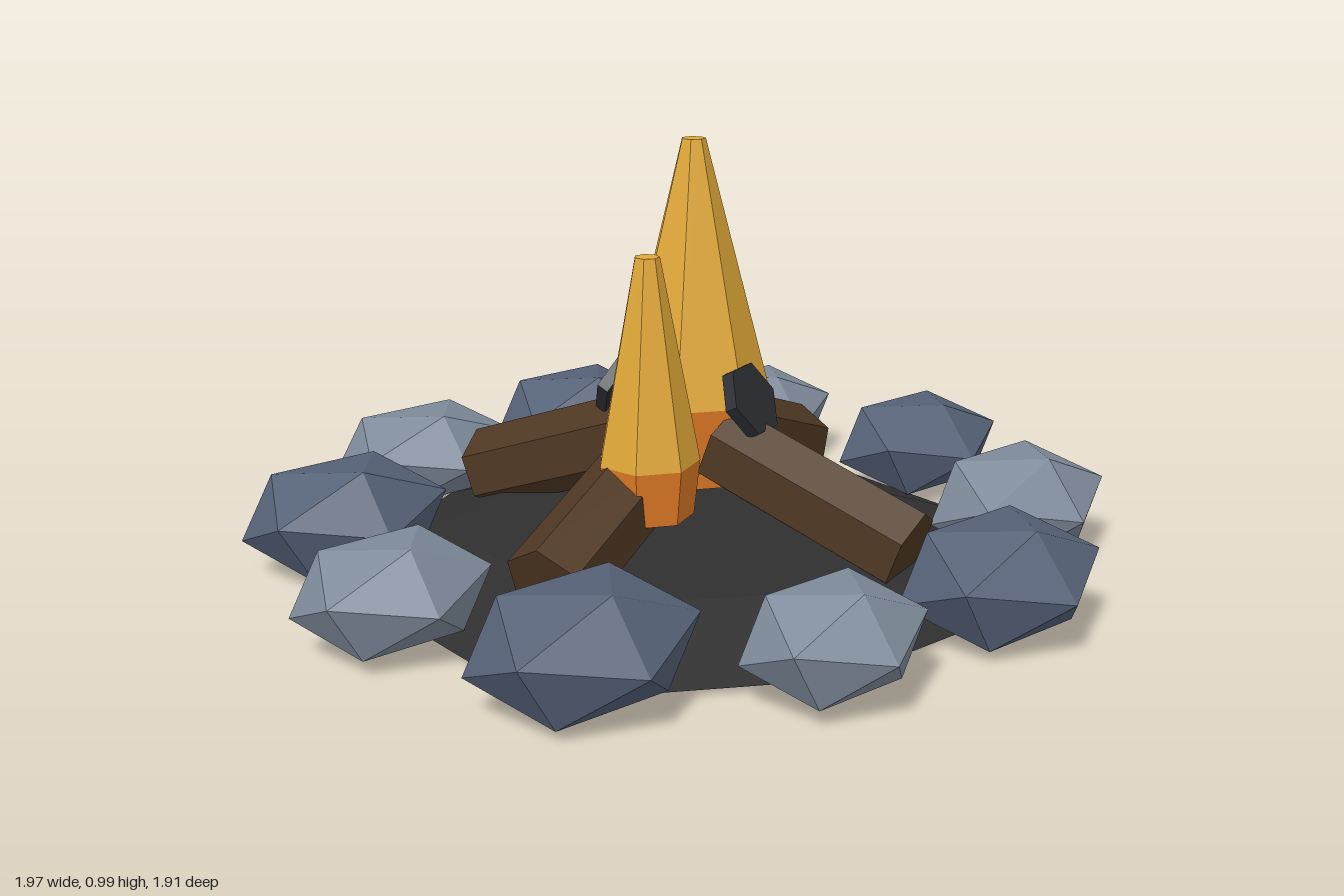
import * as THREE from 'three';

const mat = (name, color) => {
  const m = new THREE.MeshStandardMaterial({ color, flatShading: true });
  m.name = name;
  return m;
};

export function createModel() {
  const model = new THREE.Group();
  model.name = 'campfire';

  const stoneDark = mat('dark stone', 0x566278);
  const stoneLight = mat('light stone', 0x7f8b9b);
  const ash = mat('ash', 0x2f2f2f);
  const wood = mat('wood', 0x4f3823);
  const char = mat('charcoal', 0x2a2c30);
  const yellow = mat('flame yellow', 0xe0a838);
  const orange = mat('flame orange', 0xe07a24);

  const add = (parent, name, geometry, material, x = 0, y = 0, z = 0) => {
    const mesh = new THREE.Mesh(geometry, material);
    mesh.name = name;
    mesh.position.set(x, y, z);
    parent.add(mesh);
    return mesh;
  };

  // Low mound of ash under the fire
  const mound = add(model, 'ashBed', new THREE.CylinderGeometry(0.5, 0.745, 0.09, 12), ash, 0, 0.08, 0);
  mound.rotation.y = Math.PI / 12;

  // Icosahedron standing on a corner, with one upper-ring corner towards +x
  const stoneShape = new THREE.IcosahedronGeometry(1, 0).toNonIndexed?.() ?? null;
  const rock = stoneShape.clone();
  const t = (1 + Math.sqrt(5)) / 2;
  const pole = new THREE.Vector3(0, t, 1).normalize();
  rock.applyQuaternion(new THREE.Quaternion().setFromUnitVectors(pole, new THREE.Vector3(0, 1, 0)));
  const p = rock.attributes.position;
  for (let i = 0; i < p.count; i++) {
    if (p.getY(i) > 0.3 && p.getY(i) < 0.6) {
      rock.rotateY(Math.atan2(p.getZ(i), p.getX(i)));
      break;
    }
  }

  // Ring of ten stones, alternating dark and light: [size, half height]
  const stones = [
    [0.235, 0.133], [0.24, 0.14], [0.25, 0.143], [0.213, 0.128], [0.257, 0.146],
    [0.228, 0.13], [0.255, 0.143], [0.25, 0.128], [0.25, 0.143], [0.23, 0.132],
  ];
  stones.forEach(([s, h], i) => {
    const a = (i * Math.PI) / 5;
    const stone = add(model, 'stone', rock, i % 2 ? stoneLight : stoneDark,
      0.79 * Math.cos(a), Math.max(0.152, h), 0.79 * Math.sin(a));
    stone.scale.set(s, h, s * 0.82);
  });

  // Four leaning logs, each with a charred disc near its upper end
  const logShape = new THREE.CylinderGeometry(0.1, 0.1, 0.5, 6);
  const discShape = new THREE.CylinderGeometry(0.088, 0.088, 0.03, 6);
  discShape.rotateY(Math.PI / 6);
  for (let i = 0; i < 4; i++) {
    const arm = new THREE.Group();
    arm.name = 'logArm';
    arm.rotation.y = 0.35 + (i * Math.PI) / 2;
    add(arm, 'log', logShape, wood, 0, 0.24, 0.335).rotation.x = Math.PI / 2 + 0.35;
    add(arm, 'charredTip', discShape, char, 0, 0.44, 0.17).rotation.x = 1.1;
    model.add(arm);
  }

  // Flames: orange base flaring up to a tall yellow taper
  const flame = (x, z, radius, bottom, split, top) => {
    const g = new THREE.Group();
    g.name = 'flame';
    g.position.set(x, 0, z);
    const sides = 7;
    add(g, 'flameBase', new THREE.CylinderGeometry(radius, radius * 0.88, split - bottom, sides),
      orange, 0, (split + bottom) / 2, 0);
    add(g, 'flameTip', new THREE.CylinderGeometry(0.028, radius, top - split, sides),
      yellow, 0, (top + split) / 2, 0);
    model.add(g);
  };
  flame(0.045, -0.025, 0.18, 0.23, 0.42, 1.015);
  flame(-0.205, 0.12, 0.115, 0.22, 0.345, 0.8);
  flame(0.21, -0.165, 0.1, 0.23, 0.325, 0.74);

  return model;
}
